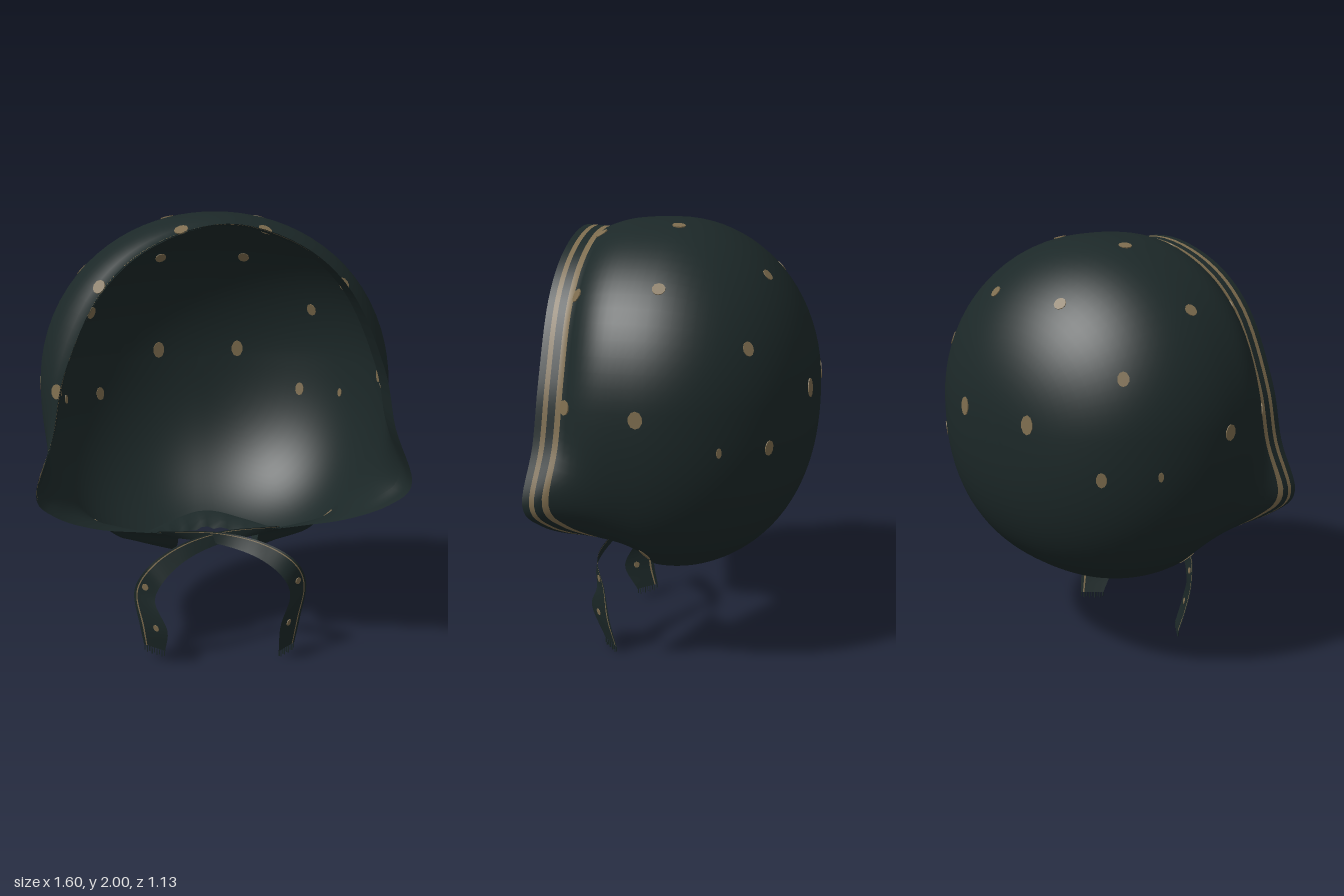
import * as THREE from 'three';

const cloth = new THREE.MeshStandardMaterial({ color: 0x1c2828, side: THREE.DoubleSide });
cloth.name = 'darkCloth';
const tan = new THREE.MeshStandardMaterial({ color: 0x7d6c4e, side: THREE.DoubleSide });
tan.name = 'tanPrint';

const V = (x, y, z) => new THREE.Vector3(x, y, z);
const rad = THREE.MathUtils.degToRad;
const { lerp, smoothstep } = THREE.MathUtils;

// Grid surface; isTan(col, row) picks the printed faces
function gridMesh(name, point, cols, rows, wrap, isTan) {
  const n = wrap ? cols : cols + 1;
  const pos = [], plain = [], print = [];
  for (let j = 0; j <= rows; j++)
    for (let i = 0; i < n; i++) pos.push(...point(i, j).toArray());
  for (let j = 0; j < rows; j++)
    for (let i = 0; i < cols; i++) {
      const k = (i + 1) % n;
      const a = j * n + i, b = j * n + k, c = a + n, d = b + n;
      (isTan(i, j) ? print : plain).push(a, b, c, b, d, c);
    }
  const g = new THREE.BufferGeometry();
  g.setAttribute('position', new THREE.Float32BufferAttribute(pos, 3));
  g.setIndex([...plain, ...print]);
  g.addGroup(0, plain.length, 0);
  g.addGroup(plain.length, print.length, 1);
  g.computeVertexNormals();
  const m = new THREE.Mesh(g, [cloth, tan]);
  m.name = name;
  return m;
}

// Open edge of the hood, half of it: x, y, z, angle of the body line it joins
const RIM = [
  [0, 1.96, 0.525, 0], [0.3, 1.875, 0.525, 23], [0.52, 1.68, 0.525, 51], [0.67, 1.36, 0.525, 81],
  [0.725, 1.1, 0.54, 100], [0.8, 0.865, 0.565, 114], [0.72, 0.75, 0.515, 122], [0.55, 0.66, 0.42, 130],
  [0.35, 0.61, 0.34, 137], [0.2, 0.57, 0.28, 143], [0.19, 0.48, 0.2, 150], [0.2, 0.45, 0.08, 157],
  [0.17, 0.445, -0.06, 167], [0, 0.46, -0.14, 180],
];
const LOOP = [...RIM, ...RIM.slice(1, -1).reverse().map(([x, y, z, a]) => [-x, y, z, 360 - a])];
const rimCurve = new THREE.CatmullRomCurve3(LOOP.map(p => V(p[0], p[1], p[2])), true, 'catmullrom', 0.5);
const angleCurve = new THREE.CatmullRomCurve3([...LOOP.map(p => V(p[3], 0, 0)), V(360, 0, 0)], false, 'catmullrom', 0.5);

// Rounded body behind the rim, fuller low down than at the crown
function body(angle, phi) {
  const s = Math.sin(angle), c = Math.cos(angle);
  const e = c < 0 ? 2 / 2.3 : 0.98;
  const r = Math.pow(Math.max(0, Math.cos(phi)), 0.88 + 0.1 * c);
  return V(
    0.78 * r * Math.sign(s) * Math.pow(Math.abs(s), e),
    1.25 + (c < 0 ? 0.85 : 0.75) * r * Math.sign(c) * Math.pow(Math.abs(c), e),
    0.1 - 0.66 * Math.sin(phi));
}

const BAND = [0, 0.03, 0.052, 0.085, 0.11];
const LAST = BAND.length - 1;
const FRONT = 14, BACK = 22, PER = 6;
const COLS = LOOP.length * PER;

// Point on the hood: column i runs round the rim, row j from rim to back
function hoodPoint(i, j) {
  const u = i / COLS;
  const p = rimCurve.getPoint(u);
  const angle = rad(angleCurve.getPoint(u).x);
  const fromTop = Math.min(angle, 2 * Math.PI - angle);
  const low = smoothstep(fromTop, rad(95), rad(148));
  p.y += 0.008 * smoothstep(fromTop, rad(145), rad(155)) * Math.sin(i * 2.1);
  const z0 = Math.min(0.1, p.z - 0.12);
  const phi0 = Math.asin((0.1 - z0) / 0.66);
  if (j > FRONT) return body(angle, lerp(phi0, Math.PI / 2, (j - FRONT) / BACK));
  const e = body(angle, phi0);
  const len = p.distanceTo(e), bandEnd = BAND[LAST] / len;
  const t = j <= LAST ? BAND[j] / len : lerp(bandEnd, 1, (j - LAST) / (FRONT - LAST));

  // The trim band runs straight back from the face, then the cloth swells to the body
  const start = bandEnd * (1 - low);
  const w = 1 - Math.pow(1 - Math.max(0, (t - start) / (1 - start)), lerp(3.2, 1.3, low));
  const dip = 1 - 0.009 * (1 - low) * Math.min(1, t / bandEnd);
  return V(
    lerp(p.x * dip, e.x, w),
    lerp(1.25 + (p.y - 1.25) * dip, e.y, w),
    lerp(p.z, e.z, t));
}

// Two stripes follow the face edge and stop at the chin
const isStripe = (i, j) => (j === 1 || j === 3) && Math.min(i, COLS - 1 - i) < 8 * PER;

// Plain lining just inside the trim band
const liningPoint = (i, j) => {
  const p = hoodPoint(i, j);
  return V(p.x * 0.994, 1.25 + (p.y - 1.25) * 0.994, p.z);
};

// Thin printed spot placed where a ray meets the cloth; tall stretches it upwards
function spot(target, origin, dir, r, tall = 1) {
  const hit = new THREE.Raycaster(origin, dir.clone().normalize()).intersectObject(target)[0];
  if (!hit) return [];
  const m = new THREE.Mesh(new THREE.CylinderGeometry(r, r, 0.007, 10), tan);
  m.name = 'spot';
  m.position.copy(hit.point);
  const n = hit.face.normal;
  const up = V(0, 1, 0).addScaledVector(n, -n.y).normalize();
  m.quaternion.setFromRotationMatrix(new THREE.Matrix4().makeBasis(n.clone().cross(up), n, up));
  m.scale.z = tall;
  return [m];
}

// Ribbon end ruled between its outer and inner edges
function tie(side, drop) {
  const g = new THREE.Group();
  g.name = side > 0 ? 'leftTie' : 'rightTie';
  const curve = pts => new THREE.CatmullRomCurve3(pts.map(([x, y, z]) => V(x * side, y, z + side * 0.005)));
  const outer = curve([[-0.28, 0.6, 0.3], [0, 0.585, 0.3], [0.2, 0.545, 0.36], [0.33, 0.47, 0.4],
    [0.392, 0.34, 0.35], [0.37, 0.17, 0.335], [0.35, drop, 0.31]]);
  const inner = curve([[-0.2, 0.56, 0.28], [0, 0.53, 0.31], [0.17, 0.48, 0.385], [0.27, 0.4, 0.425],
    [0.305, 0.31, 0.415], [0.255, 0.19, 0.46], [0.26, drop, 0.395]]);
  const across = [0, 0.1, 0.16, 0.5, 0.8, 1];
  const band = gridMesh('ribbon', (i, j) => outer.getPoint(j / 40).lerp(inner.getPoint(j / 40), across[i]),
    5, 40, false, i => i === 1);
  g.add(band);
  for (const [x, y] of [[0.345, 0.37], [0.3, 0.18]])
    g.add(...spot(band, V(x * side, y, 1), V(0, 0, -1), 0.016));

  // Frayed end
  const a = outer.getPoint(1), b = inner.getPoint(1);
  for (let i = 0; i < 9; i++) {
    const len = 0.024 + 0.008 * (i % 2);
    const thread = new THREE.Mesh(new THREE.BoxGeometry(0.005, len, 0.004), cloth);
    thread.name = 'fringe';
    thread.position.lerpVectors(a, b, (i + 0.3) / 8.6);
    thread.position.y -= len / 2;
    g.add(thread);
  }
  return g;
}

export function createModel() {
  const model = new THREE.Group();
  model.name = 'tiedBonnet';
  const shell = gridMesh('hood', hoodPoint, COLS, FRONT + BACK, true, isStripe);
  model.add(shell, gridMesh('lining', liningPoint, COLS, LAST, true, () => false));

  // Spots scattered in mirrored pairs: x, y, z, radius, upward stretch
  const spots = [
    [0.21, 1.79, -0.35, 0.027], [0.56, 1.52, -0.33, 0.025, 1.25], [0.2, 1.29, -0.54, 0.029, 1.45],
    [0.485, 1.1, -0.41, 0.023, 1.45], [0.2, 1.96, 0.04, 0.029], [0.58, 1.74, 0.03, 0.028],
    [0.78, 1.25, 0.08, 0.03, 1.2], [0.53, 1.715, 0.402, 0.03], [0.18, 1.95, 0.4, 0.03],
    [0.74, 1.27, 0.405, 0.032], [0.72, 1.1, -0.24, 0.012, 1.8], [0.53, 0.59, 0.12, 0.014, 3],
  ];
  const printed = new THREE.Group();
  printed.name = 'spots';
  for (const [x, y, z, r, tall] of spots)
    for (const side of [1, -1]) {
      const from = V(0, 1.2, z * 0.8);
      printed.add(...spot(shell, from, V(x * side, y, z).sub(from), r, tall));
    }
  model.add(printed);

  // Ties crossing under the chin
  model.add(tie(1, 0.032), tie(-1, 0.06));
  return model;
}
